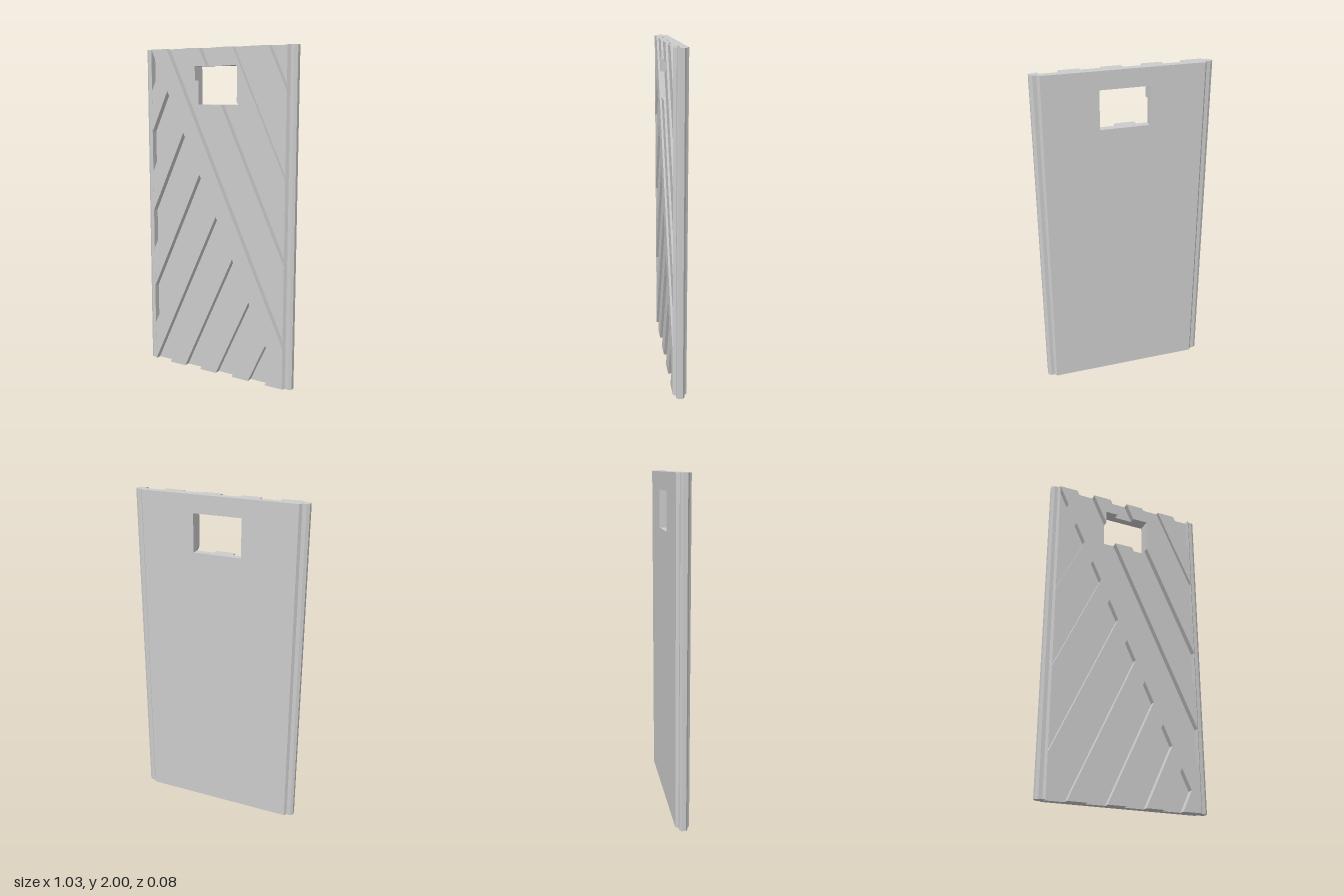
import * as THREE from 'three';

const HALF = 0.465;            // half width of the flat panel
const BACK = -0.041, FLOOR = 0.003, SHALLOW = 0.019, FRONT = 0.04;
const HOLE = { x: 0.145, y0: 1.67, y1: 1.895 };
const STEP = (2 * HALF) / 8;   // the pattern follows an 8 x 8 grid of cells

const material = new THREE.MeshStandardMaterial({ color: 0xcccccc, flatShading: true });

// grid cell corner -> panel position
const at = (u, v) => new THREE.Vector2(-HALF + STEP * u, 0.25 * v);
const pt = (x, y) => new THREE.Vector2(x, y);

// points where the falling diagonal from (j, 8) crosses a height or a column
const onY = (j, y) => pt(-HALF + STEP * (j + 8 - y / 0.25), y);
const onX = (j, x) => pt(x, 0.25 * (j + 8 - (x + HALF) / STEP));

function slab(name, shape, z0, z1) {
  const g = new THREE.ExtrudeGeometry(shape, { depth: z1 - z0, bevelEnabled: false });
  g.translate(0, 0, z0);
  const mesh = new THREE.Mesh(g, material);
  mesh.name = name;
  return mesh;
}

export function createModel() {
  const group = new THREE.Group();
  group.name = 'groovedPanel';

  // back plate with the rectangular window
  const plate = new THREE.Shape([at(0, 0), at(8, 0), at(8, 8), at(0, 8)]);
  plate.holes.push(new THREE.Path([
    pt(-HOLE.x, HOLE.y0), pt(-HOLE.x, HOLE.y1), pt(HOLE.x, HOLE.y1), pt(HOLE.x, HOLE.y0),
  ]));
  group.add(slab('backPlate', plate, BACK, FLOOR));

  // main diagonal with the rising ribs; the gaps between ribs end in a point
  const comb = [at(1, 8), at(8, 1), at(8, 0)];
  for (let i = 7; i >= 0; i--) {
    comb.push(i > 3 ? at(2 * i - 7, 0) : at(0, 7 - 2 * i));
    comb.push(at(i + 0.5, 7.5 - i));
    comb.push(at(i, 8 - i));
    if (i > 0) comb.push(i > 3 ? at(2 * i - 8, 0) : at(0, 8 - 2 * i));
  }
  group.add(slab('ribbedDiagonal', new THREE.Shape(comb), FLOOR, FRONT));

  // falling ribs, cut away around the window
  const ribs = [
    [at(2, 8), at(3, 8), onY(3, HOLE.y1), pt(-HOLE.x, HOLE.y1), onX(2, -HOLE.x)],
    [onY(2, HOLE.y0), onY(3, HOLE.y0), at(8, 3), at(8, 2)],
    [at(4, 8), at(5, 8), at(8, 5), at(8, 4), onX(4, HOLE.x), pt(HOLE.x, HOLE.y1), onY(4, HOLE.y1)],
    [at(6, 8), at(7, 8), at(8, 7), at(8, 6)],
  ];
  ribs.forEach((p) => group.add(slab('fallingRib', new THREE.Shape(p), FLOOR, FRONT)));

  // raised floor of the shallow groove
  group.add(slab('shallowGrooveFloor',
    new THREE.Shape([at(5, 8), at(6, 8), at(8, 6), at(8, 5)]), FLOOR, SHALLOW));

  // stepped edge rails on both long sides
  const profile = new THREE.Shape([
    pt(HALF, BACK), pt(0.478, -0.024), pt(0.5, -0.024), pt(0.516, -0.013),
    pt(0.516, 0.013), pt(0.5, 0.024), pt(0.478, 0.024), pt(HALF, FRONT),
  ]);
  for (const side of [1, -1]) {
    const g = new THREE.ExtrudeGeometry(profile, { depth: 2, bevelEnabled: false });
    g.rotateX(-Math.PI / 2);
    if (side < 0) g.rotateY(Math.PI);
    const rail = new THREE.Mesh(g, material);
    rail.name = side > 0 ? 'leftEdgeRail' : 'rightEdgeRail';
    group.add(rail);
  }
  return group;
}
